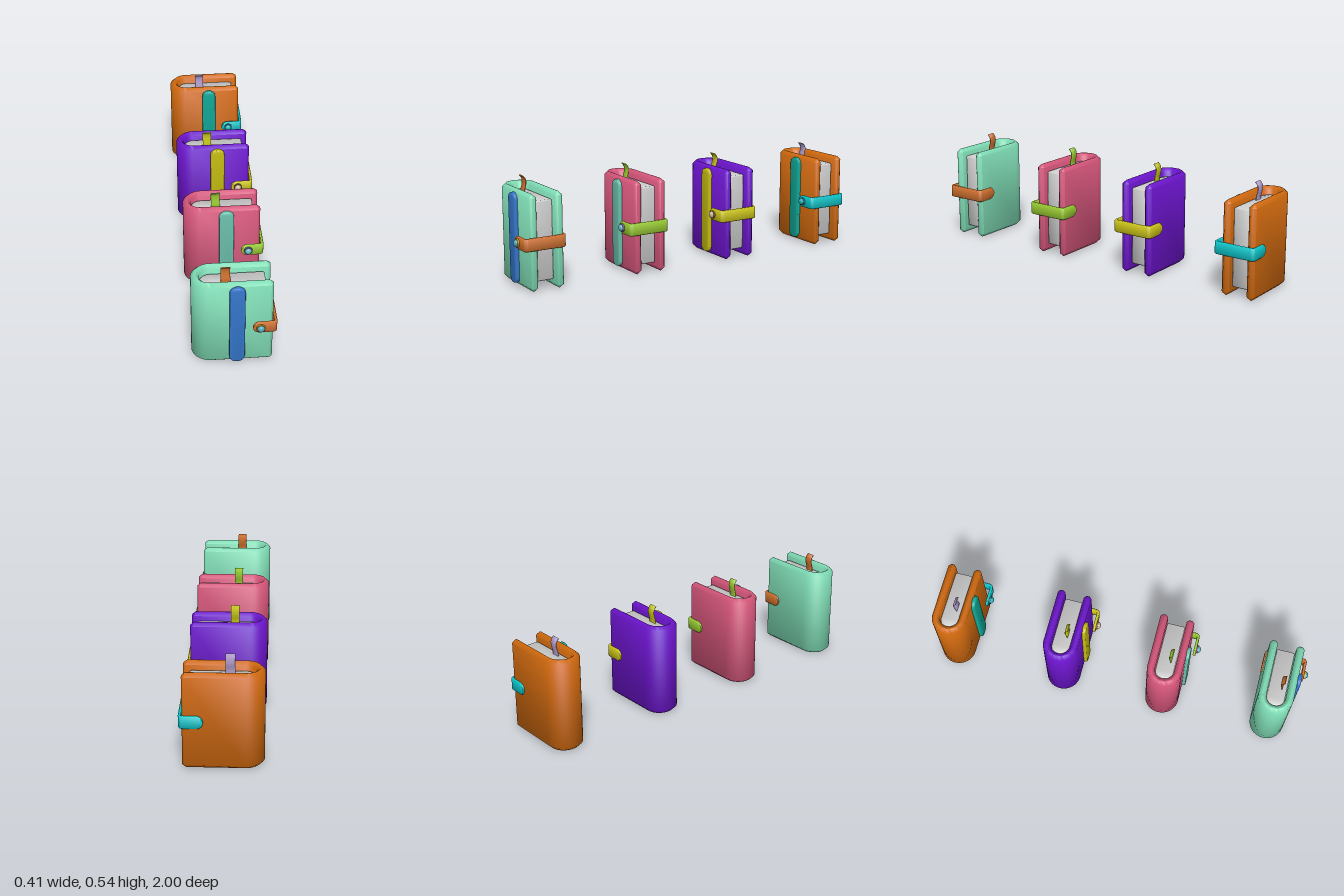
import * as THREE from 'three';
import { toCreasedNormals } from 'three/addons/utils/BufferGeometryUtils.js';

const CREASE = 0.9;

function part(name, geometry, color) {
  const mesh = new THREE.Mesh(geometry, new THREE.MeshStandardMaterial({ color }));
  mesh.name = name;
  return mesh;
}

// Bevelled extrusion whose bevels are included in the given depth
function slab(shape, depth, bevel, bevelSegments = 1) {
  return toCreasedNormals(new THREE.ExtrudeGeometry(shape, {
    depth: depth - 2 * bevel, bevelEnabled: true, bevelSize: bevel,
    bevelThickness: bevel, bevelSegments, curveSegments: 10,
  }).translate(0, 0, bevel), CREASE);
}

// Chamfered strip along stations [u, v, halfWidth]; path lies in XZ, width along Y
function ribbon(stations, thickness, chamfer) {
  const pos = [], index = [], n = stations.length, h = thickness / 2;
  stations.forEach(([u, v, w], i) => {
    const a = stations[Math.max(i - 1, 0)], b = stations[Math.min(i + 1, n - 1)];
    const t = new THREE.Vector2(b[0] - a[0], b[1] - a[1]).normalize();
    const c = Math.min(chamfer, w * 0.9);
    const section = [[w, -h + c], [w, h - c], [w - c, h], [-w + c, h],
      [-w, h - c], [-w, -h + c], [-w + c, -h], [w - c, -h]];
    for (const [y, d] of section) pos.push(u - t.y * d, y, v + t.x * d);
  });
  for (let i = 0; i < n - 1; i++) {
    for (let j = 0; j < 8; j++) {
      const a = i * 8 + j, b = i * 8 + (j + 1) % 8;
      index.push(a, b, b + 8, a, b + 8, a + 8);
    }
  }
  const last = (n - 1) * 8;
  for (let j = 1; j < 7; j++) index.push(0, j + 1, j, last, last + j, last + j + 1);
  const geo = new THREE.BufferGeometry();
  geo.setAttribute('position', new THREE.Float32BufferAttribute(pos, 3));
  geo.setIndex(index);
  return toCreasedNormals(geo, CREASE);
}

const SPINE_X = -0.112;

// U-shaped wrap of the cover, swept upwards with chamfered rims
function coverGeometry() {
  const bevel = 0.018, R = 0.0705, e = 0.0025, c = 0.0015, tip = 0.185 - bevel;
  const o = R + e, i = R - e;
  const s = new THREE.Shape();
  s.absarc(SPINE_X, 0, o, Math.PI / 2, Math.PI * 1.5, false);
  s.lineTo(tip - c, -o);
  s.lineTo(tip, -o + c);
  s.lineTo(tip, -i - c);
  s.lineTo(tip - c, -i);
  s.absarc(SPINE_X, 0, i, Math.PI * 1.5, Math.PI / 2, true);
  s.lineTo(tip - c, i);
  s.lineTo(tip, i + c);
  s.lineTo(tip, o - c);
  s.lineTo(tip - c, o);
  s.closePath();
  return slab(s, 0.49, bevel).rotateX(-Math.PI / 2);
}

// Page block with a rounded back that nests in the spine
function pagesGeometry() {
  const bevel = 0.006, r = 0.047 - bevel, edge = 0.153 - bevel, c = 0.003;
  const s = new THREE.Shape();
  s.absarc(SPINE_X, 0, r, Math.PI / 2, Math.PI * 1.5, false);
  s.lineTo(edge - c, -r);
  s.lineTo(edge, -r + c);
  s.lineTo(edge, r - c);
  s.lineTo(edge - c, r);
  s.closePath();
  return slab(s, 0.407, bevel).rotateX(-Math.PI / 2).translate(0, 0.043, 0);
}

// Round-ended vertical band on the front cover
function bandGeometry() {
  const bevel = 0.006, w = 0.0375 - bevel, h = 0.23 - bevel, r = 0.027;
  const s = new THREE.Shape();
  s.absarc(w - r, h - r, r, 0, Math.PI / 2);
  s.absarc(-w + r, h - r, r, Math.PI / 2, Math.PI);
  s.absarc(-w + r, -h + r, r, Math.PI, Math.PI * 1.5);
  s.absarc(w - r, -h + r, r, Math.PI * 1.5, Math.PI * 2);
  return slab(s, 0.026, bevel, 2).translate(0.0125, 0.245, 0.083);
}

// Closure strap: rounded ends, wrapped around the open edge
function strapGeometry() {
  const r = 0.0325, x0 = 0.085, side = 0.195, front = 0.122, back = -0.0925, bend = 0.014;
  const end = (z) => Array.from({ length: 9 }, (_, i) => {
    const a = 0.08 + (Math.PI / 2 - 0.08) * i / 8;
    return [x0 + r * (1 - Math.cos(a)), z, r * Math.sin(a)];
  });
  const corner = (z, from) => Array.from({ length: 6 }, (_, i) => {
    const a = from - Math.PI / 2 * i / 5;
    return [side - bend + bend * Math.cos(a), z + bend * Math.sin(a), r];
  });
  return ribbon([
    ...end(front), ...corner(front - bend, Math.PI / 2),
    ...corner(back + bend, 0), ...end(back).reverse(),
  ], 0.014, 0.004).translate(0, 0.2455, 0);
}

// Curled bookmark ribbon rising out of the pages
function bookmarkGeometry() {
  const curve = new THREE.SplineCurve([
    [0.43, 0.02], [0.465, 0.021], [0.497, 0.013], [0.525, 0.014], [0.543, 0.028],
  ].map(([y, z]) => new THREE.Vector2(y, z)));
  const stations = curve.getPoints(20).map((p) => [p.x, p.y, 0.0225]);
  return ribbon(stations, 0.005, 0.001).rotateZ(Math.PI / 2).translate(-0.038, 0, 0);
}

export function createModel() {
  const model = new THREE.Group();
  model.name = 'notebooks';

  const cover = coverGeometry(), pages = pagesGeometry(), band = bandGeometry();
  const strap = strapGeometry(), bookmark = bookmarkGeometry();
  const rim = new THREE.CylinderGeometry(0.0215, 0.0215, 0.014, 28)
    .rotateX(Math.PI / 2).translate(0.122, 0.246, 0.131);
  const dome = new THREE.SphereGeometry(0.018, 28, 10, 0, Math.PI * 2, 0, Math.PI / 2)
    .rotateX(Math.PI / 2).scale(1, 1, 0.8).translate(0.122, 0.246, 0.1375);

  const books = [
    { z: 0.848, cover: 0x7fdcb5, band: 0x3577cc, strap: 0xd2722f, mark: 0xd2722f, rim: 0xd0a520, dome: 0x50a8ba },
    { z: 0.261, cover: 0xd4557a, band: 0x6cc0ac, strap: 0x9acd32, mark: 0x9acd32, rim: 0x77629a, dome: 0x68b4bc },
    { z: -0.295, cover: 0x6c14cc, band: 0xc4bc12, strap: 0xd0c818, mark: 0xc8c818, rim: 0x8a6a3a, dome: 0xd0b89c },
    { z: -0.898, cover: 0xd0690e, band: 0x10a898, strap: 0x0cc8cc, mark: 0xb4a0d0, rim: 0x1a8a98, dome: 0x2ab0b8 },
  ];
  books.forEach((b, i) => {
    const book = new THREE.Group();
    book.name = `notebook${i + 1}`;
    book.position.z = b.z;
    book.add(
      part('cover', cover, b.cover),
      part('pages', pages, 0xcccccc),
      part('frontBand', band, b.band),
      part('strap', strap, b.strap),
      part('bookmark', bookmark, b.mark),
      part('buttonRim', rim, b.rim),
      part('buttonDome', dome, b.dome),
    );
    model.add(book);
  });
  return model;
}
